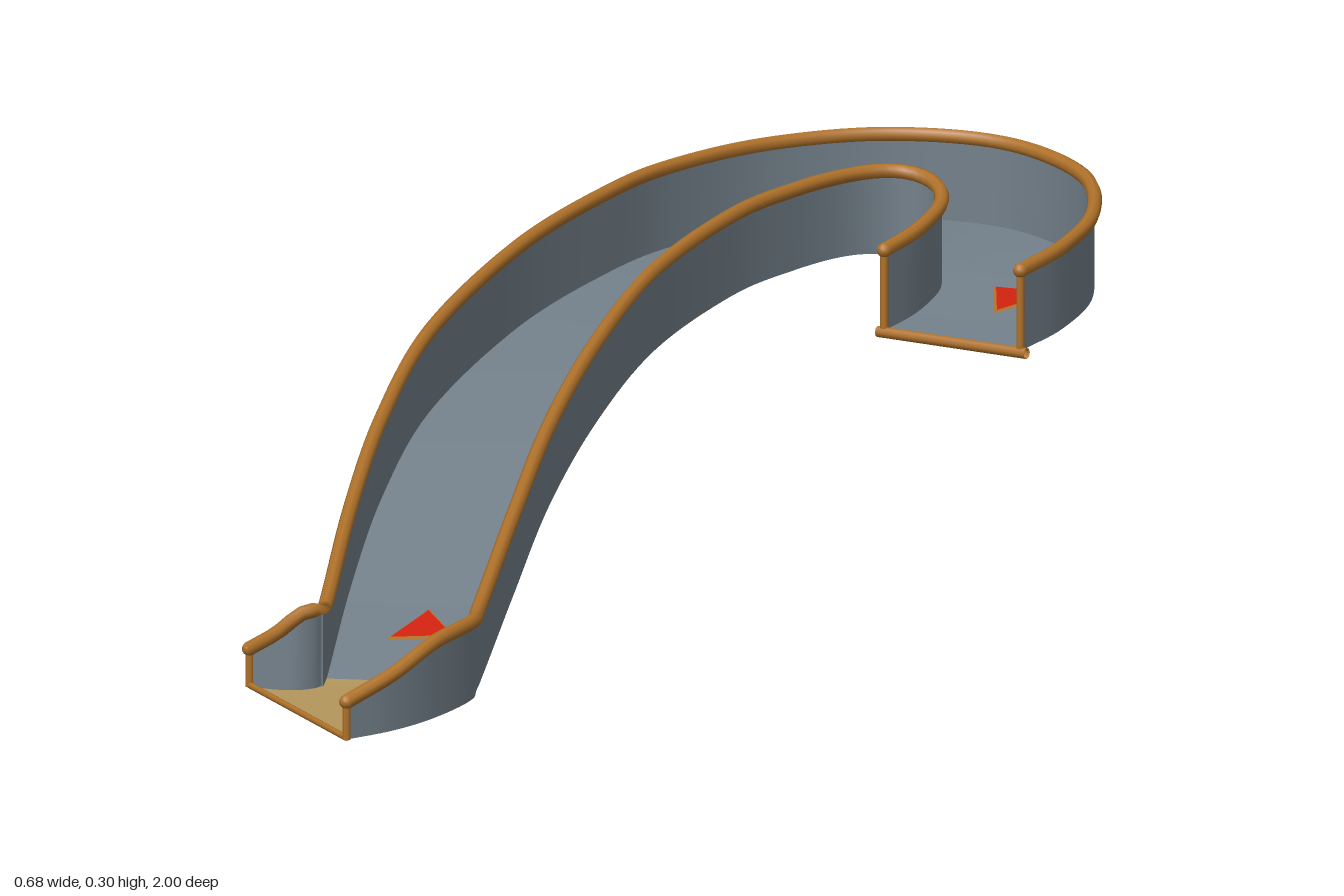
import * as THREE from 'three';

const mat = (name, color) =>
  new THREE.MeshStandardMaterial({ name, color, side: THREE.DoubleSide });

// Stations down the chute: outer x, z; inner x, z; floor y; wall height
const STATIONS = [
  [0.218, -0.595, 0.025, -0.588, 0.148, 0.1],
  [0.21, -0.7, 0.02, -0.665, 0.154, 0.102],
  [0.172, -0.82, 0, -0.745, 0.163, 0.104],
  [0.075, -0.94, -0.03, -0.787, 0.172, 0.105],
  [-0.07, -0.991, -0.066, -0.8, 0.18, 0.105],
  [-0.205, -0.938, -0.102, -0.785, 0.185, 0.104],
  [-0.295, -0.82, -0.13, -0.735, 0.189, 0.1],
  [-0.33, -0.67, -0.142, -0.64, 0.189, 0.1],
  [-0.327, -0.52, -0.137, -0.5, 0.187, 0.1],
  [-0.298, -0.28, -0.095, -0.27, 0.172, 0.1],
  [-0.225, 0.02, -0.025, -0.04, 0.139, 0.1],
  [-0.13, 0.265, 0.062, 0.19, 0.096, 0.1],
  [-0.018, 0.5, 0.165, 0.42, 0.047, 0.1],
  [0.115, 0.75, 0.283, 0.67, 0.003, 0.096],
  [0.129, 0.785, 0.318, 0.74, 0.002, 0.097],
  [0.119, 0.812, 0.331, 0.84, 0.002, 0.094],
  [0.094, 0.827, 0.325, 0.92, 0.002, 0.07],
  [0.058, 0.832, 0.304, 0.988, 0.002, 0.047],
];
const STEPS = 8;
const COUNT = (STATIONS.length - 1) * STEPS;
const FLOOR_END = 13 * STEPS; // where the landing begins

// Smooth line through one edge; column picks outer (0) or inner (2)
function edge(column, top) {
  const curve = new THREE.CatmullRomCurve3(
    STATIONS.map(s => new THREE.Vector3(s[column], s[4] + (top ? s[5] : 0), s[column + 1])),
    false, 'catmullrom', 0.5);
  const points = curve.getPoints(COUNT);
  points.forEach(p => { p.y = Math.max(p.y, 0.002); });
  return points;
}

// Surface between two matching lines of points
function ribbon(a, b) {
  const positions = [], index = [];
  a.forEach((p, i) => {
    positions.push(...p.toArray(), ...b[i].toArray());
    if (i) {
      const k = 2 * i;
      index.push(k - 2, k - 1, k, k - 1, k + 1, k);
    }
  });
  const g = new THREE.BufferGeometry();
  g.setAttribute('position', new THREE.Float32BufferAttribute(positions, 3));
  g.setIndex(index);
  g.computeVertexNormals();
  return g;
}

// Flat triangle, optionally grown from its centre and lifted
function triangle(corners, scale, lift) {
  const pts = corners.map(c => new THREE.Vector3(...c));
  const centre = pts.reduce((s, p) => s.add(p), new THREE.Vector3()).divideScalar(3);
  pts.forEach(p => { p.sub(centre).multiplyScalar(scale).add(centre); p.y += lift; });
  const g = new THREE.BufferGeometry().setFromPoints(pts);
  g.setIndex([0, 2, 1]);
  g.computeVertexNormals();
  return g;
}

export function createModel() {
  const group = new THREE.Group();
  group.name = 'slide';
  const steel = mat('steel grey', 0x73808a);
  const trim = mat('bronze trim', 0xb0722a);
  const sand = mat('landing tan', 0xb4965c);
  const red = mat('arrow red', 0xd0220f);

  const add = (name, geometry, material) => {
    const mesh = new THREE.Mesh(geometry, material);
    mesh.name = name;
    group.add(mesh);
    return mesh;
  };
  const bar = (name, a, b, r) =>
    add(name, new THREE.TubeGeometry(new THREE.LineCurve3(a, b), 1, r, 8), trim);

  const outer = edge(0, false), inner = edge(2, false);

  // Floor and landing
  add('floor', ribbon(outer.slice(0, FLOOR_END + 1), inner.slice(0, FLOOR_END + 1)), steel);
  add('landing', ribbon(outer.slice(FLOOR_END), inner.slice(FLOOR_END)), sand);

  // Side walls with rims, rim end caps and end posts
  for (const [side, column, base] of [['outer', 0, outer], ['inner', 2, inner]]) {
    const top = edge(column, true);
    add(side + 'Wall', column ? ribbon(top, base) : ribbon(base, top), steel);
    const line = new THREE.CatmullRomCurve3(top);
    add(side + 'Rim', new THREE.TubeGeometry(line, 160, 0.009, 8), trim);
    for (const [end, i] of [['Start', 0], ['End', COUNT]]) {
      bar(side + end + 'Post', base[i], top[i], 0.005);
      add(side + end + 'Cap', new THREE.SphereGeometry(0.009, 10, 8), trim).position.copy(top[i]);
    }
  }

  // Lips across both ends
  const past = (p, q) => p.clone().add(p.clone().sub(q).setLength(0.009));
  const o = outer[0].clone(), n = inner[0].clone();
  o.y = n.y = 0.146;
  bar('startLip', past(o, n), past(n, o), 0.007);
  const a = outer[COUNT].clone(), b = inner[COUNT].clone();
  a.y = b.y = 0.004;
  bar('endLip', a, b, 0.004);

  // Direction arrows with thin borders
  const arrows = {
    upperArrow: [[0.065, 0.163, -0.77], [0.138, 0.163, -0.785], [0.12, 0.158, -0.69]],
    lowerArrow: [[0.115, 0.035, 0.53], [0.18, 0.022, 0.575], [0.118, 0.02, 0.617]],
  };
  for (const [name, corners] of Object.entries(arrows)) {
    add(name, triangle(corners, 1, 0.008), red);
    add(name + 'Border', triangle(corners, 1.14, 0.006), trim);
  }
  return group;
}
